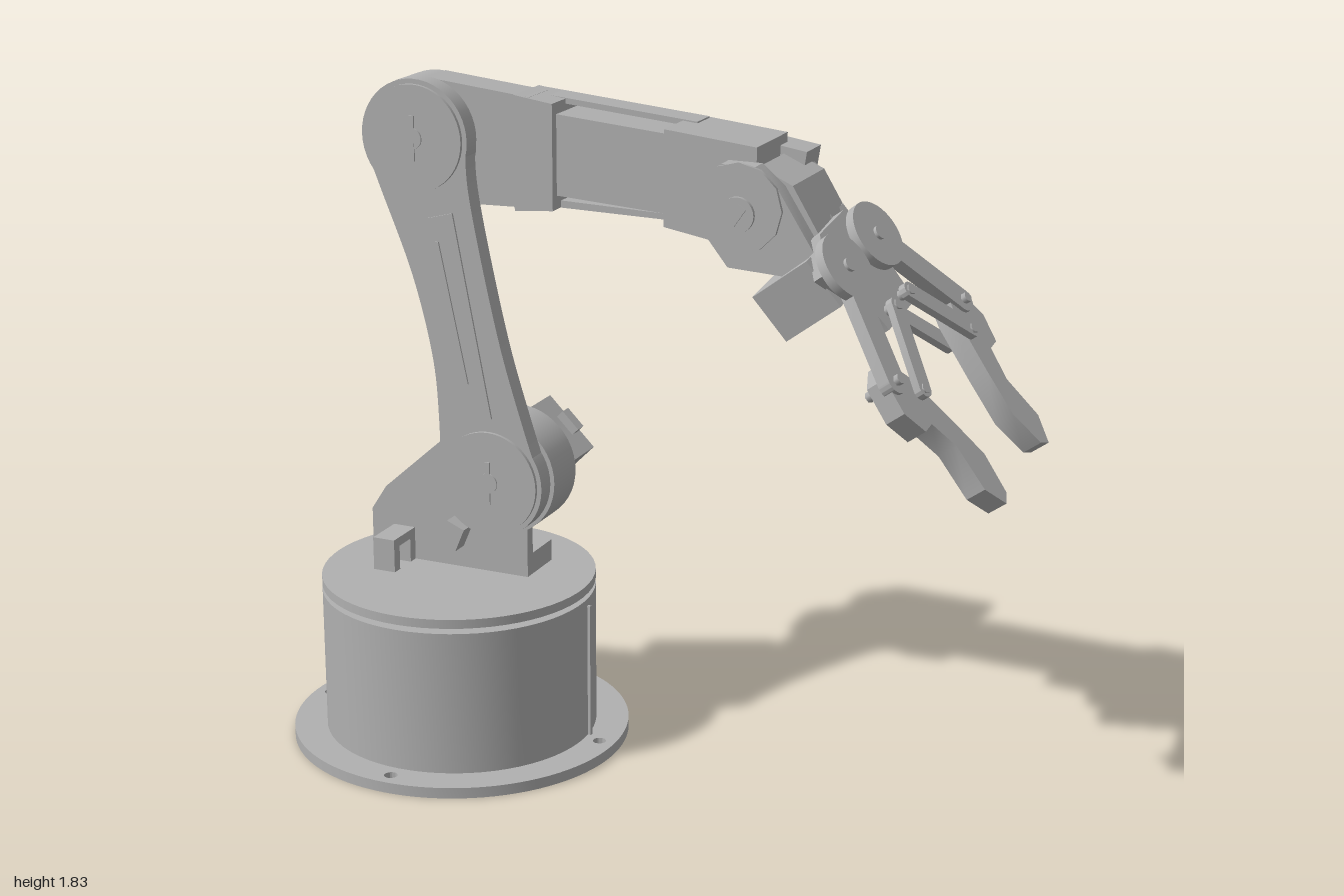
import * as THREE from 'three';
import { toCreasedNormals } from 'three/addons/utils/BufferGeometryUtils.js';

const grey = new THREE.MeshStandardMaterial({ color: 0xb0b0b0 });
grey.name = 'machined grey';

function add(parent, name, geometry, x = 0, y = 0, z = 0) {
  const mesh = new THREE.Mesh(geometry, grey);
  mesh.name = name;
  mesh.position.set(x, y, z);
  parent.add(mesh);
  return mesh;
}

// Box given by its centre, size and turn about its own z axis
function box(parent, name, [x, y, z], [w, h, d], turn = 0) {
  const mesh = add(parent, name, new THREE.BoxGeometry(w, h, d), x, y, z);
  mesh.rotation.z = turn;
  return mesh;
}

// Round part whose axis runs along z, from z0 to z1
function disc(parent, name, x, y, r, z0, z1, sides = 48) {
  const g = new THREE.CylinderGeometry(r, r, z1 - z0, sides).rotateX(Math.PI / 2);
  return add(parent, name, g, x, y, (z0 + z1) / 2);
}

// Flat part with an outline in x and y, from z0 to z1
function extrude(parent, name, shape, z0, z1) {
  const g = new THREE.ExtrudeGeometry(shape, { depth: z1 - z0, bevelEnabled: false, curveSegments: 24 });
  return add(parent, name, toCreasedNormals(g, 0.5), 0, 0, z0);
}
const points = pts => pts.map(p => new THREE.Vector2(...p));
const slab = (parent, name, pts, z0, z1) => extrude(parent, name, new THREE.Shape(points(pts)), z0, z1);

// Round-ended bar between two pivots
function bar(parent, name, [ax, ay], [bx, by], r, z0, z1) {
  const a = Math.atan2(by - ay, bx - ax);
  const s = new THREE.Shape();
  s.absarc(ax, ay, r, a + Math.PI / 2, a + Math.PI * 1.5);
  s.absarc(bx, by, r, a - Math.PI / 2, a + Math.PI / 2);
  return extrude(parent, name, s, z0, z1);
}

// Servo: body, mounting ears and cable nub, axis along z
function servo(parent, name, x, y, z, len, wide, deep, turn) {
  const g = new THREE.Group();
  g.name = name;
  g.position.set(x, y, z);
  g.rotation.z = turn;
  parent.add(g);
  box(g, 'servoBody', [0, 0, 0], [len, wide, deep]);
  box(g, 'servoEars', [0, 0, deep * 0.38], [len * 1.1, wide * 0.9, 0.018]);
  box(g, 'cableNub', [len / 2 + 0.01, 0, -deep * 0.36], [0.03, wide * 0.35, 0.035]);
}

function buildBase(parent) {
  // Flange ring with four screw holes
  const ring = new THREE.Shape().absarc(0, 0, 0.465, 0, Math.PI * 2);
  const holes = [[0, 0, 0.337]];
  for (let i = 0; i < 4; i++) {
    const a = 0.19 + i * Math.PI / 2;
    holes.push([0.42 * Math.cos(a), 0.42 * Math.sin(a), 0.018]);
  }
  for (const [x, y, r] of holes) ring.holes.push(new THREE.Path().absarc(x, y, r, 0, Math.PI * 2, true));
  const flange = new THREE.ExtrudeGeometry(ring, { depth: 0.03, bevelEnabled: false, curveSegments: 48 });
  add(parent, 'baseFlange', toCreasedNormals(flange.rotateX(-Math.PI / 2), 0.5));

  // Hollow drum, open below
  const wall = [[0.375, 0.03], [0.375, 0.43], [0.05, 0.43], [0.05, 0.41], [0.337, 0.41], [0.337, 0]];
  add(parent, 'baseDrum', toCreasedNormals(new THREE.LatheGeometry(points(wall), 64), 0.5));
  add(parent, 'turntable', new THREE.CylinderGeometry(0.375, 0.375, 0.025, 64), 0, 0.4575, 0);

  // Turning servo and its bearing inside the drum
  box(parent, 'baseServo', [0.03, 0.25, 0.04], [0.3, 0.32, 0.15]);
  const bearing = new THREE.CylinderGeometry(0.1, 0.1, 0.06, 6).rotateZ(Math.PI / 2);
  add(parent, 'baseServoBearing', bearing, -0.21, 0.13, -0.02);
  box(parent, 'bearingArm', [-0.14, 0.15, 0], [0.1, 0.06, 0.06]);
  // Cable slot ribs on the drum
  for (const z of [-0.1, -0.05]) box(parent, 'cableSlotRib', [0.365, 0.22, z], [0.012, 0.38, 0.008]);
}

function buildArm(parent) {
  const S = [0.118, 0.75], E = [-0.086, 1.67];

  // Shoulder bracket, feet and servo
  slab(parent, 'shoulderBracket', [[-0.28, 0.47], [0.2, 0.47], [0.2, 0.62], [0.22, 0.75],
    [0.1, 0.88], [-0.01, 0.87], [-0.235, 0.67], [-0.28, 0.6]], -0.05, -0.018);
  disc(parent, 'shoulderBracketHub', ...S, 0.165, -0.05, -0.018);
  for (const x of [-0.21, 0.14]) box(parent, 'bracketFoot', [x, 0.5, -0.105], [0.12, 0.06, 0.12]);
  for (const z of [-0.005, 0.085]) box(parent, 'stopPost', [-0.18, 0.515, z], [0.065, 0.09, 0.03]);
  box(parent, 'stopPostTop', [-0.18, 0.55, 0.04], [0.065, 0.025, 0.12]);
  box(parent, 'limitBolt', [0.0, 0.58, 0.02], [0.055, 0.07, 0.05], -0.4);
  disc(parent, 'shoulderBearing', ...S, 0.165, -0.15, -0.05);
  servo(parent, 'shoulderServo', 0.065, 0.705, -0.25, 0.31, 0.19, 0.21, Math.PI / 4);

  // Curved upper arm link
  const link = new THREE.Shape();
  link.moveTo(-0.231, 1.63);
  link.splineThru(points([[-0.191, 1.53], [-0.101, 1.3], [-0.046, 1.08], [-0.031, 0.9], [-0.031, 0.74]]));
  link.lineTo(0.266, 0.78);
  link.splineThru(points([[0.219, 0.92], [0.159, 1.12], [0.104, 1.36], [0.069, 1.55], [0.064, 1.67]]));
  link.closePath();
  extrude(parent, 'upperArm', link, -0.014, 0.04);
  slab(parent, 'upperArmPanel', [[-0.051, 1.46], [0.024, 1.48], [0.129, 0.93], [0.054, 0.91]], 0.04, 0.046);
  slab(parent, 'panelRib', [[-0.026, 1.4], [-0.016, 1.4], [0.064, 1.02], [0.054, 1.02]], 0.046, 0.051);
  for (const [x, y] of [S, E]) {
    disc(parent, 'jointHub', x, y, 0.155, -0.014, 0.04);
    disc(parent, 'jointCap', x, y, 0.142, 0.04, 0.05);
    // Keyed centre of the cap
    disc(parent, 'capCentre', x, y, 0.028, 0.05, 0.054, 24);
    box(parent, 'capKey', [x, y, 0.052], [0.014, 0.12, 0.005]);
  }

  // Elbow housing and servo
  disc(parent, 'elbowBearing', -0.1, 1.655, 0.165, -0.13, -0.016);
  slab(parent, 'elbowHousing', [[-0.1, 1.49], [0.22, 1.5], [0.22, 1.79], [-0.08, 1.82]], -0.13, -0.02);
  slab(parent, 'elbowClamp', [[0.18, 1.49], [0.29, 1.5], [0.29, 1.78], [0.18, 1.795]], -0.16, -0.01);
  servo(parent, 'elbowServo', 0.025, 1.65, -0.245, 0.335, 0.17, 0.23, Math.PI - 0.06);

  // Forearm with straps above and below
  slab(parent, 'forearm', [[0.22, 1.54], [0.65, 1.515], [0.65, 1.72], [0.22, 1.755]], -0.16, -0.035);
  slab(parent, 'topStrap', [[0.2, 1.775], [0.66, 1.735], [0.66, 1.75], [0.2, 1.79]], -0.17, -0.09);
  slab(parent, 'bottomStrap', [[0.2, 1.5], [0.66, 1.495], [0.66, 1.51], [0.2, 1.52]], -0.15, -0.06);

  // Wrist housing, pivot and servo
  slab(parent, 'wristHousing', [[0.62, 1.5], [0.74, 1.48], [0.87, 1.5], [0.87, 1.725], [0.62, 1.75]], -0.18, 0.03);
  for (const [z0, z1] of [[0.04, 0.09], [-0.2, -0.175]]) {
    slab(parent, 'wristCheek', [[0.74, 1.63], [0.8, 1.69], [0.89, 1.69], [0.95, 1.64],
      [1.06, 1.47], [1.02, 1.42], [0.82, 1.43], [0.74, 1.53]], z0, z1);
  }
  disc(parent, 'wristCap', 0.85, 1.585, 0.115, 0.09, 0.1, 12);
  disc(parent, 'wristHub', 0.85, 1.57, 0.045, 0.1, 0.11, 24);
  box(parent, 'wristHubSlot', [0.85, 1.57, 0.112], [0.025, 0.055, 0.006], -0.6);
  slab(parent, 'wristBridge', [[0.88, 1.68], [0.97, 1.64], [1.08, 1.46], [1.01, 1.43], [0.88, 1.5]], -0.18, 0.04);
  box(parent, 'wristServo', [0.83, 1.62, -0.18], [0.2, 0.17, 0.1], -0.15);
}

function buildGripper(parent) {
  // Palm with its servo and gear motor
  slab(parent, 'palm', [[-0.16, 0.02], [-0.1, -0.08], [-0.09, -0.19], [0.09, -0.19],
    [0.1, -0.08], [0.16, 0.02], [0.08, 0.1], [-0.08, 0.1]], -0.03, 0.015);
  box(parent, 'gripperServo', [-0.05, 0, -0.12], [0.18, 0.14, 0.19]);
  box(parent, 'gearMotor', [0.1, 0.04, -0.08], [0.13, 0.13, 0.1]);
  box(parent, 'palmMount', [0, 0.07, -0.055], [0.14, 0.1, 0.07]);

  // One finger with its pair of links, mirrored to the other side
  const finger = [[-0.262, -0.257], [-0.286, -0.35], [-0.258, -0.42], [-0.217, -0.42], [-0.188, -0.505],
    [-0.205, -0.63], [-0.165, -0.697], [-0.135, -0.68], [-0.109, -0.575], [-0.135, -0.45],
    [-0.172, -0.3], [-0.21, -0.23]];
  for (const side of [1, -1]) {
    const m = ([x, y]) => [x * side, y];
    slab(parent, 'finger', finger.map(m), -0.03, 0.03);
    disc(parent, 'driveGear', -0.1 * side, 0, 0.09, 0.015, 0.04);
    disc(parent, 'gearPin', -0.1 * side, 0, 0.018, 0.04, 0.048, 16);
    bar(parent, 'outerLink', m([-0.115, -0.03]), m([-0.24, -0.28]), 0.033, 0.005, 0.04);
    for (const z of [-0.05, 0.03]) bar(parent, 'innerLink', m([-0.045, -0.155]), m([-0.175, -0.345]), 0.022, z, z + 0.02);
    for (const p of [[-0.24, -0.28], [-0.175, -0.345], [-0.045, -0.155]]) {
      disc(parent, 'linkPin', ...m(p), 0.014, -0.055, 0.054, 6);
    }
  }
}

export function createModel() {
  const model = new THREE.Group();
  model.name = 'robotArm';
  const group = (name, x, y, z, build) => {
    const g = new THREE.Group();
    g.name = name;
    g.position.set(x, y, z);
    build(g);
    model.add(g);
    return g;
  };
  group('base', -0.533, 0, 0.048, buildBase);
  group('arm', -0.533, 0, 0.046, buildArm).rotation.y = 0.175;

  // The gripper lies in a sloping plane and is turned a little within it
  const gripper = group('gripper', 0.553, 1.462, -0.168, buildGripper);
  const slope = new THREE.Matrix4().makeBasis(new THREE.Vector3(0, 0, -1),
    new THREE.Vector3(-0.596, 0.803, 0), new THREE.Vector3(0.803, 0.596, 0));
  gripper.quaternion.setFromRotationMatrix(slope);
  gripper.rotateZ(0.233);
  return model;
}
